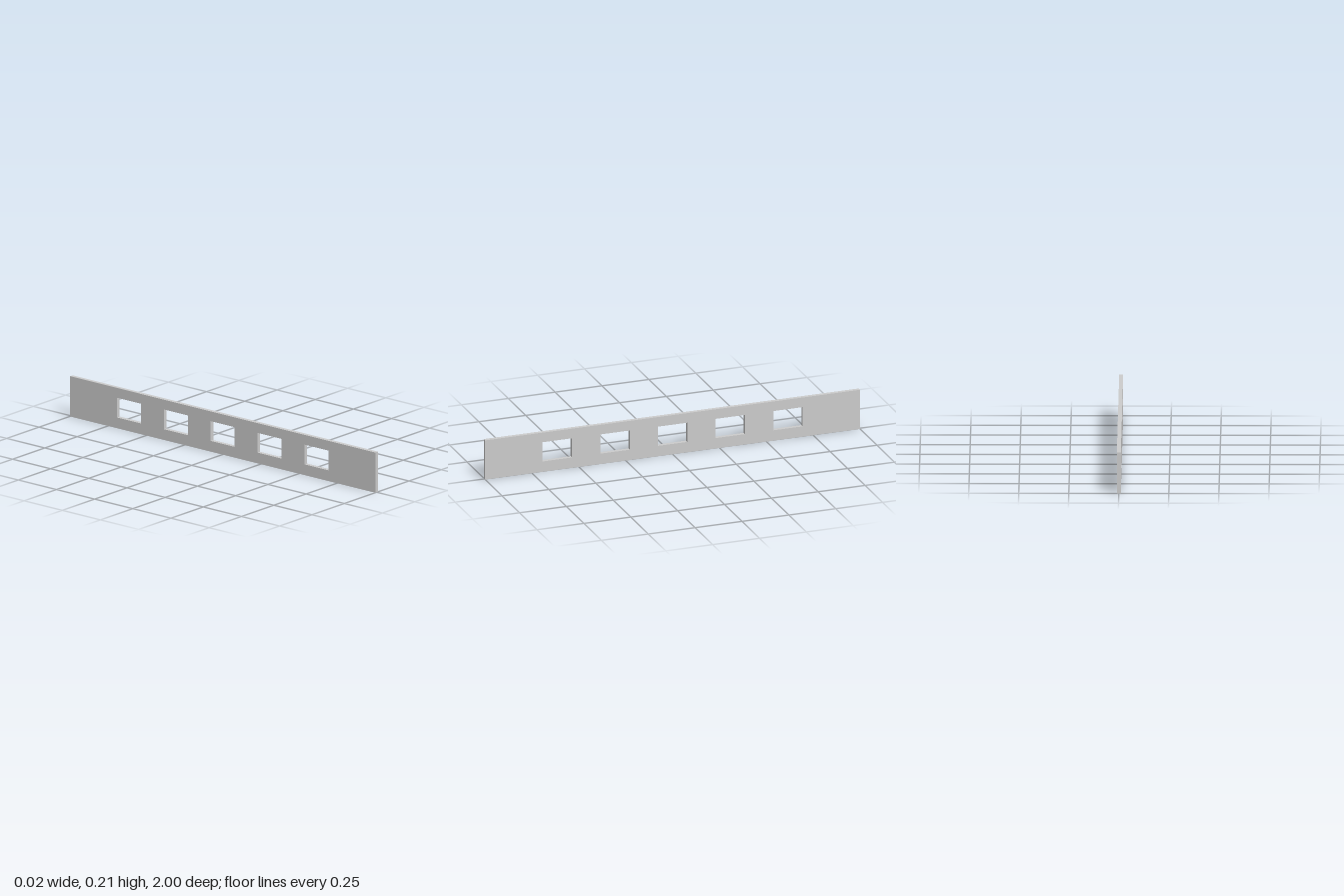
import * as THREE from 'three';

const LENGTH = 2, HEIGHT = 0.21, THICKNESS = 0.02;
const WINDOW_W = 0.157, WINDOW_H = 0.103, SPACING = 0.3075, WINDOW_Y = 0.107;

// Closed rectangular outline centred on (cx, cy)
function rect(PathType, cx, cy, w, h) {
  const path = new PathType();
  path.moveTo(cx - w / 2, cy - h / 2);
  path.lineTo(cx + w / 2, cy - h / 2);
  path.lineTo(cx + w / 2, cy + h / 2);
  path.lineTo(cx - w / 2, cy + h / 2);
  path.closePath();
  return path;
}

export function createModel() {
  const group = new THREE.Group();
  group.name = 'perforatedPlank';

  // Long upright board with five evenly spaced windows
  const outline = rect(THREE.Shape, 0, HEIGHT / 2, LENGTH, HEIGHT);
  for (let i = -2; i <= 2; i++) {
    outline.holes.push(rect(THREE.Path, i * SPACING, WINDOW_Y, WINDOW_W, WINDOW_H));
  }
  const geometry = new THREE.ExtrudeGeometry(outline, { depth: THICKNESS, bevelEnabled: false });
  geometry.translate(0, 0, -THICKNESS / 2);
  geometry.rotateY(Math.PI / 2); // run the length along z

  const board = new THREE.Mesh(geometry, new THREE.MeshStandardMaterial({ color: 0xcccccc }));
  board.name = 'board';
  group.add(board);
  return group;
}
